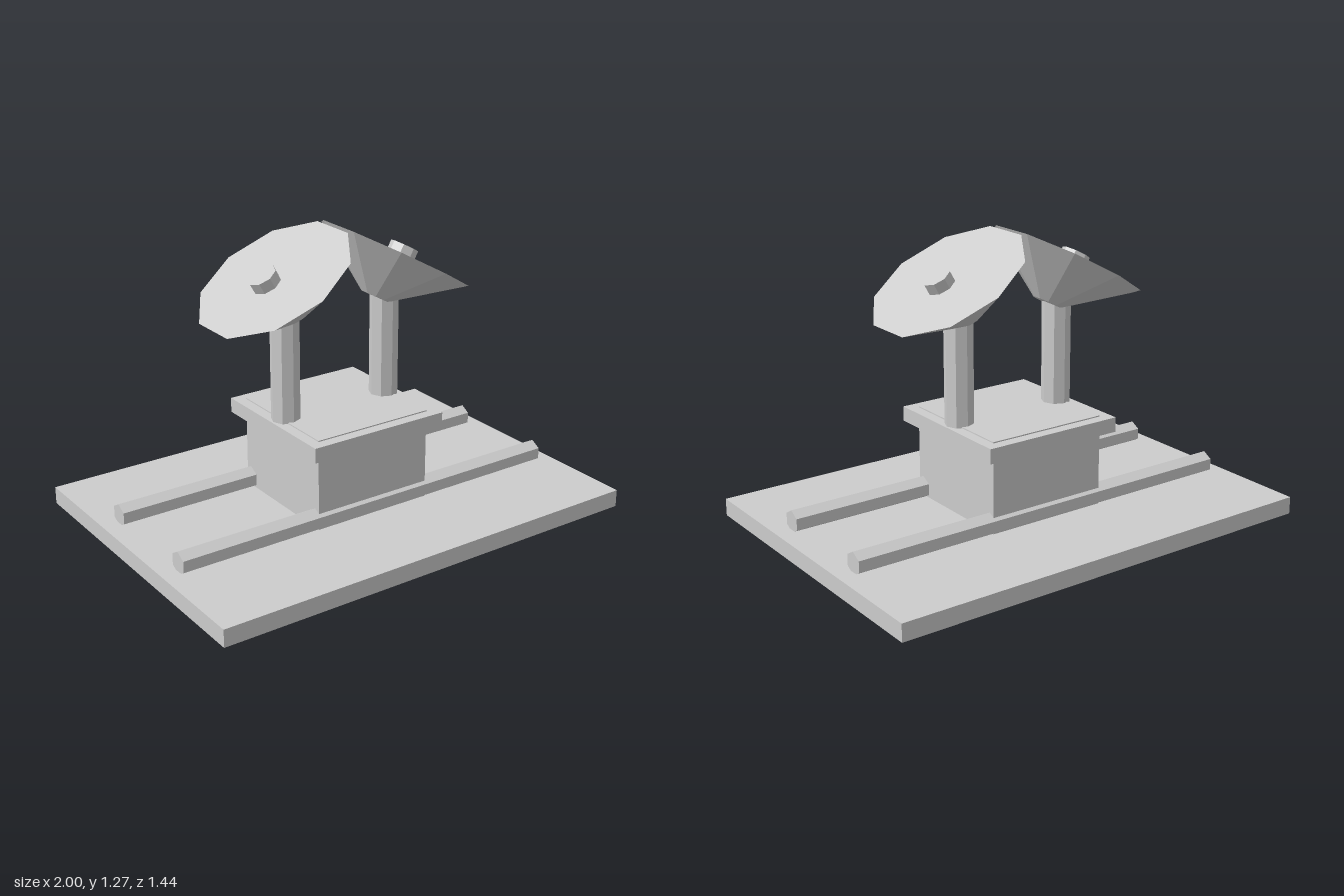
import * as THREE from 'three';

export function createModel() {
  const model = new THREE.Group();
  model.name = 'twinDishStation';
  const grey = new THREE.MeshStandardMaterial({ color: 0xcccccc, flatShading: true });
  grey.name = 'light grey';

  function add(parent, name, geometry, x, y, z) {
    const mesh = new THREE.Mesh(geometry, grey);
    mesh.name = name;
    mesh.position.set(x, y, z);
    parent.add(mesh);
    return mesh;
  }

  // Ground slab
  add(model, 'baseSlab', new THREE.BoxGeometry(2, 0.077, 1.437), 0, 0.0385, 0);

  // Housing, rising just above the collar that surrounds it
  add(model, 'housing', new THREE.BoxGeometry(0.554, 0.41, 0.554), 0, 0.275, 0);
  add(model, 'collar', new THREE.BoxGeometry(0.65, 0.065, 0.65), 0, 0.4425, 0);

  // Hexagonal rails with a ridge on top
  const rail = new THREE.CylinderGeometry(0.05, 0.05, 1.85, 6);
  rail.rotateY(Math.PI / 6).rotateZ(Math.PI / 2);
  for (const side of [-1, 1]) {
    add(model, side > 0 ? 'frontRail' : 'backRail', rail, 0, 0.115, side * 0.25);
  }

  // Mirrored posts, each carrying a dish tilted outwards
  const post = new THREE.CylinderGeometry(0.063, 0.063, 0.48, 8);
  const bowl = new THREE.CylinderGeometry(0.35, 0.063, 0.2, 10);
  const knob = new THREE.CylinderGeometry(0.063, 0.063, 0.07, 8);
  for (const side of [-1, 1]) {
    const label = side > 0 ? 'left' : 'right';
    add(model, label + 'Post', post, side * 0.254, 0.71, 0);

    const dish = new THREE.Group();
    dish.name = label + 'Dish';
    dish.position.set(side * 0.303, 1.1, 0);
    dish.rotation.z = -side * Math.PI / 6;
    add(dish, label + 'Bowl', bowl, 0, -0.1, 0);
    add(dish, label + 'Knob', knob, side * 0.037, 0.015, 0);
    model.add(dish);
  }

  return model;
}
